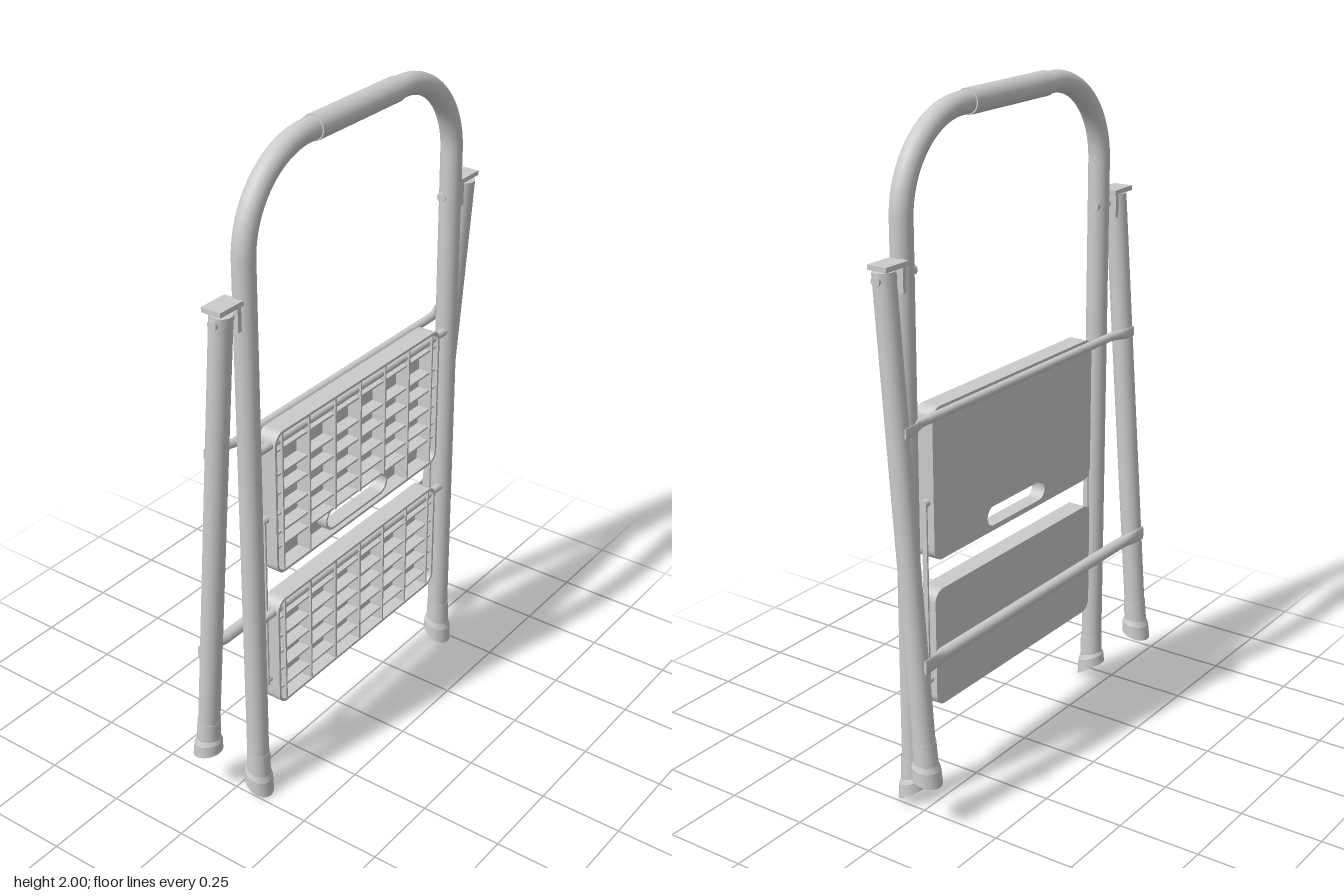
import * as THREE from 'three';

const material = new THREE.MeshStandardMaterial({ color: 0xcccccc });
const doubleSided = new THREE.MeshStandardMaterial({ color: 0xcccccc, side: THREE.DoubleSide });
const V = (x, y, z) => new THREE.Vector3(x, y, z);

function add(parent, name, geometry, x = 0, y = 0, z = 0, mat = material) {
  const mesh = new THREE.Mesh(geometry, mat);
  mesh.name = name;
  mesh.position.set(x, y, z);
  parent.add(mesh);
  return mesh;
}

const box = (w, h, d) => new THREE.BoxGeometry(w, h, d);
const rod = (r, length, sides = 20) => new THREE.CylinderGeometry(r, r, length, sides);
const rodX = (r, length, sides) => rod(r, length, sides).rotateZ(Math.PI / 2);

// Rounded rectangle outline, used for treads, rims and the hand slot
function rounded(x0, y0, x1, y1, r, Type = THREE.Shape) {
  const s = new Type();
  s.absarc(x1 - r, y0 + r, r, -Math.PI / 2, 0);
  s.absarc(x1 - r, y1 - r, r, 0, Math.PI / 2);
  s.absarc(x0 + r, y1 - r, r, Math.PI / 2, Math.PI);
  s.absarc(x0 + r, y0 + r, r, Math.PI, Math.PI * 1.5);
  s.closePath();
  return s;
}

const extrude = (shape, depth) =>
  new THREE.ExtrudeGeometry(shape, { depth, bevelEnabled: false, curveSegments: 8 });

// Flared rubber foot whose sole is cut at a slant along z
function footGeometry(slope) {
  const profile = [[0, 0], [0.043, 0], [0.043, 0], [0.041, 0.04], [0.041, 0.04], [0.035, 0.055],
    [0.035, 0.055], [0.034, 0.12], [0.032, 0.12]].map(([r, y]) => new THREE.Vector2(r, y));
  const g = new THREE.LatheGeometry(profile, 28);
  const p = g.attributes.position;
  for (let i = 0; i < p.count; i++) {
    const y = p.getY(i);
    p.setY(i, y + slope * p.getZ(i) * Math.max(0, 1 - y / 0.1));
  }
  g.computeVertexNormals();
  return g;
}

// Round crossbar with ends pressed flat and offset backwards
function crossbarGeometry(halfLength, r, endShift) {
  const g = new THREE.CylinderGeometry(r, r, halfLength * 2, 20, 48).rotateZ(Math.PI / 2);
  const p = g.attributes.position;
  for (let i = 0; i < p.count; i++) {
    const t = THREE.MathUtils.smoothstep(Math.abs(p.getX(i)), halfLength - 0.1, halfLength - 0.03);
    p.setY(i, p.getY(i) * (1 + 0.25 * t));
    p.setZ(i, p.getZ(i) * (1 - 0.75 * t) - endShift * t);
  }
  g.computeVertexNormals();
  return g;
}

// Tread: closed plate at the back, rim and rib grid open to the front
function makeTread(name, y0, y1, ribRows, slot) {
  const tread = new THREE.Group();
  tread.name = name;
  const w = 0.395, back = 0.028, depth = 0.058;
  const plate = rounded(-w, y0, w, y1, 0.035);
  if (slot) plate.holes.push(rounded(-0.145, slot[0], 0.145, slot[1], 0.0295, THREE.Path));
  add(tread, 'treadPlate', extrude(plate, 0.012), 0, 0, back);
  const rim = rounded(-w, y0, w, y1, 0.035);
  rim.holes.push(rounded(-w + 0.008, y0 + 0.008, w - 0.008, y1 - 0.008, 0.028, THREE.Path));
  add(tread, 'treadRim', extrude(rim, depth), 0, 0, back);
  if (slot) {
    const collar = rounded(-0.152, slot[0] - 0.007, 0.152, slot[1] + 0.007, 0.036);
    collar.holes.push(rounded(-0.145, slot[0], 0.145, slot[1], 0.0295, THREE.Path));
    add(tread, 'handSlotCollar', extrude(collar, 0.045), 0, 0, back);
  }
  for (let i = -3; i <= 3; i++) {
    const x = i * 0.12;
    const low = slot && Math.abs(x) < 0.15 ? slot[1] + 0.005 : y0 + 0.004;
    add(tread, 'verticalRib', box(0.006, y1 - low - 0.004, depth - 0.01),
      x, (low + y1) / 2, back + depth / 2 + 0.004);
  }
  for (const y of ribRows)
    add(tread, 'horizontalRib', box(w * 2 - 0.01, 0.006, depth - 0.015), 0, y, back + depth / 2);
  return tread;
}

export function createModel() {
  const model = new THREE.Group();
  model.name = 'foldedStepLadder';
  const legX = 0.47, frameZ = 0.058, rearX = 0.555;

  // Bent tube forming both front legs and the top handle
  const R = 0.26, k = R * 0.4477, top = 1.965;
  const path = new THREE.CurvePath();
  path.add(new THREE.LineCurve3(V(-legX, 0.06, frameZ + 0.003), V(-legX, top - R, frameZ)));
  path.add(new THREE.CubicBezierCurve3(V(-legX, top - R, frameZ), V(-legX, top - k, frameZ),
    V(-legX + k, top, frameZ), V(-legX + R, top, frameZ)));
  path.add(new THREE.LineCurve3(V(-legX + R, top, frameZ), V(legX - R, top, frameZ)));
  path.add(new THREE.CubicBezierCurve3(V(legX - R, top, frameZ), V(legX - k, top, frameZ),
    V(legX, top - k, frameZ), V(legX, top - R, frameZ)));
  path.add(new THREE.LineCurve3(V(legX, top - R, frameZ), V(legX, 0.06, frameZ + 0.003)));
  add(model, 'frontFrame', new THREE.TubeGeometry(path, 200, 0.032, 24));
  add(model, 'handleGrip', rodX(0.036, 0.365, 28), 0, top, frameZ);

  for (const s of [-1, 1]) {
    add(model, 'frontFoot', footGeometry(-0.6), s * legX, 0.026, frameZ + 0.004, doubleSided);

    // Tilted rear leg with foot
    const leg = new THREE.Group();
    leg.name = 'rearLeg';
    leg.position.set(s * rearX, 0.147, -0.056);
    leg.rotation.x = 0.074;
    add(leg, 'rearLegTube', rod(0.032, 1.4, 24), 0, 0.745, 0);
    add(leg, 'rearFoot', footGeometry(0.33), 0, 0, 0, doubleSided);
    model.add(leg);

    // Hinge bracket: cap plate, side plate and pivot pin
    const hinge = new THREE.Group();
    hinge.name = 'hingeBracket';
    add(hinge, 'hingeCap', box(0.092, 0.014, 0.062), s * 0.543, 1.602, 0.046);
    add(hinge, 'hingeSidePlate', box(0.014, 0.08, 0.056), s * 0.511, 1.565, 0.046);
    add(hinge, 'hingePin', rodX(0.014, 0.158), s * 0.513, 1.568, 0.05);
    model.add(hinge);

    // Thin link joining the two treads, with its pivots
    add(model, 'treadLink', box(0.006, 0.56, 0.016), s * 0.408, 0.625, 0.05);
    for (const y of [0.9, 0.36])
      add(model, 'linkPivot', rodX(0.011, 0.03, 16), s * 0.4, y, 0.05);
  }

  // Rear crossbars
  add(model, 'lowerCrossbar', crossbarGeometry(0.565, 0.018, 0.013), 0, 0.5, -0.052);
  add(model, 'upperCrossbar', crossbarGeometry(0.565, 0.013, 0.023), 0, 1.163, 0.008);

  // Treads and the rods they hang on between the front legs
  model.add(makeTread('upperTread', 0.725, 1.175, [1.115, 1.04, 0.98, 0.915, 0.855, 0.808], [0.741, 0.8]));
  model.add(makeTread('lowerTread', 0.275, 0.635, [0.57, 0.505, 0.45, 0.39, 0.325]));
  for (const y of [1.14, 0.598])
    add(model, 'treadRod', rodX(0.012, 0.9), 0, y, 0.068);

  return model;
}
